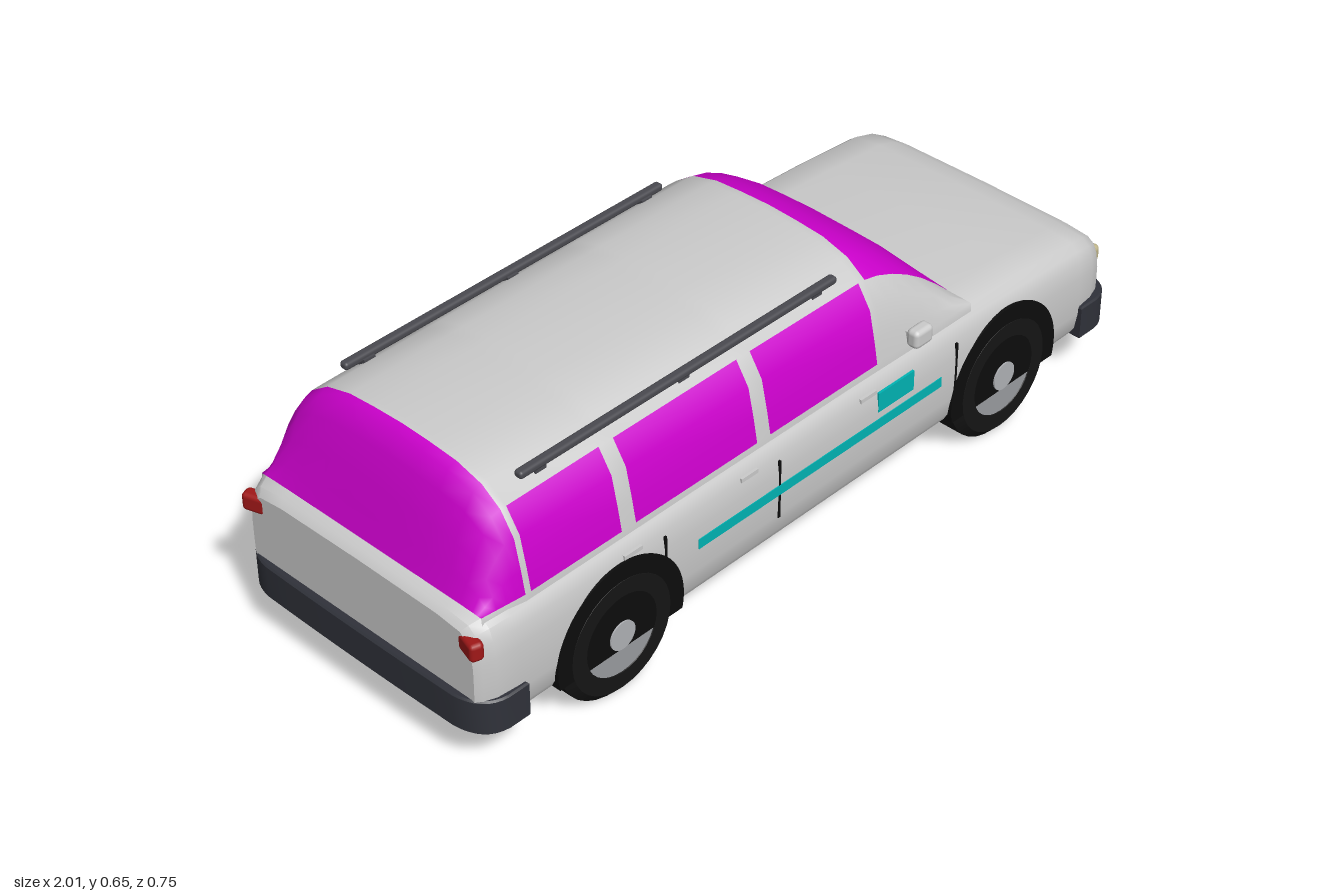
import * as THREE from 'three';
import { toCreasedNormals } from 'three/addons/utils/BufferGeometryUtils.js';
import { RoundedBoxGeometry } from 'three/addons/geometries/RoundedBoxGeometry.js';

const mat = (color, side = THREE.FrontSide) => new THREE.MeshStandardMaterial({ color, side });
const GREY = mat(0xcccccc), SHELL = mat(0xcccccc, THREE.DoubleSide), GLASS = mat(0xcc00cc, THREE.DoubleSide);
const TYRE = mat(0x151515), ARCH = mat(0x0c0c0c), DARK = mat(0x30323a), RAIL = mat(0x4a4a50), RIM = mat(0x9a9ca0);
const CAP = mat(0xb0b2b6), TEAL = mat(0x00b4b4), LAMP = mat(0xbfb58a), RED = mat(0xa01818), CHROME = mat(0xa8b0b0);

function add(group, name, geometry, material, x = 0, y = 0, z = 0) {
  const mesh = new THREE.Mesh(geometry, material);
  mesh.name = name;
  mesh.position.set(x, y, z);
  group.add(mesh);
  return mesh;
}

// Vertices of equal rows; quads go to the index list chosen by pick(i, j)
function loft(rows, pick) {
  const n = rows[0].length, pos = new Float32Array(rows.flat(2)), all = [], lists = {};
  for (let i = 0; i < rows.length - 1; i++) for (let j = 0; j < n - 1; j++) {
    const a = i * n + j, b = a + n, quad = [a, b, a + 1, b, b + 1, a + 1];
    all.push(...quad);
    (lists[pick(i, j)] ??= []).push(...quad);
  }
  const base = new THREE.BufferGeometry();
  base.setAttribute('position', new THREE.BufferAttribute(pos, 3));
  base.setIndex(all);
  base.computeVertexNormals();
  const out = {};
  for (const key in lists) {
    out[key] = base.clone();
    out[key].setIndex(lists[key]);
  }
  return out;
}

// Lower body: half section as [width factor, height factor], stations as [x, half width, top]
function bodyGeometry() {
  const half = [[0, 0], [0.94, 0], [0.975, 0.08], [0.995, 0.25], [1, 0.45], [1, 0.65], [0.985, 0.8],
    [0.955, 0.9], [0.9, 0.96], [0.7, 0.99], [0, 1]];
  const ring = [...half, ...half.slice(0, -1).reverse().map(([z, y]) => [-z, y])];
  const stations = [[-0.985, 0.33, 0.38], [-0.972, 0.343, 0.395], [-0.945, 0.354, 0.405], [-0.89, 0.359, 0.408],
    [-0.4, 0.36, 0.408], [0.1, 0.36, 0.407], [0.45, 0.36, 0.402], [0.7, 0.36, 0.39], [0.87, 0.358, 0.378],
    [0.92, 0.352, 0.366], [0.955, 0.34, 0.347], [0.975, 0.325, 0.33], [0.985, 0.305, 0.315]];
  const rows = stations.map(([x, w, top]) => ring.map(([z, y]) => [x, 0.125 + y * (top - 0.125), z * w]));
  // Close both ends by collapsing a row onto the centre
  const centre = x => ring.map(() => [x, 0.22, 0]);
  rows.unshift(centre(-0.985));
  rows.push(centre(0.985));
  return toCreasedNormals(loft(rows, () => 'body').body, 0.6);
}

// Cabin: one section, squashed in height along the length, split into glass and shell
function cabinGeometry() {
  const half = [[0.338, 0], [0.336, 0], [0.326, 0.22], [0.31, 0.52], [0.275, 0.74], [0.225, 0.885],
    [0.155, 0.965], [0.08, 0.988], [0, 1]];
  const ring = [...half, ...half.slice(0, -1).reverse().map(([z, y]) => [-z, y])];
  const stations = [[-0.953, 0.402], [-0.935, 0.455], [-0.915, 0.52], [-0.89, 0.59], [-0.868, 0.632], [-0.845, 0.641],
    [-0.83, 0.642], [-0.58, 0.645], [-0.54, 0.645], [-0.185, 0.647], [-0.145, 0.647], [0.19, 0.645], [0.21, 0.643],
    [0.25, 0.631], [0.3, 0.603], [0.35, 0.566], [0.4, 0.52], [0.45, 0.464], [0.5, 0.402]];
  const last = ring.length - 1;
  const rows = stations.map(([x, top]) => ring.map(([z, f], j) => {
    const taper = x < -0.845 ? 1 - 0.3 * (-0.845 - x) : 1;
    return [x, j === 0 || j === last ? 0.38 : 0.4 + f * (top - 0.4), z * taper];
  }));
  return loft(rows, (i, j) => {
    const x = (stations[i][0] + stations[i + 1][0]) / 2, k = Math.min(j, last - 1 - j);
    if (k === 0) return 'shell';
    if (x < -0.845) return 'rearWindow';
    if (x > 0.21) return k >= 4 ? 'windscreen' : 'shell';
    const pane = [[-0.83, -0.58], [-0.54, -0.185], [-0.145, 0.19]].some(([a, b]) => x > a && x < b);
    return pane && k <= 3 ? 'sideWindows' : 'shell';
  });
}

// Wrap-around bumper: rounded U in plan, raised to its height
function bumperGeometry() {
  const s = new THREE.Shape();
  s.moveTo(0.87, -0.362);
  s.lineTo(0.92, -0.362);
  s.quadraticCurveTo(0.982, -0.355, 0.99, -0.28);
  s.quadraticCurveTo(0.996, 0, 0.99, 0.28);
  s.quadraticCurveTo(0.982, 0.355, 0.92, 0.362);
  s.lineTo(0.87, 0.362);
  s.lineTo(0.87, 0.33);
  s.lineTo(0.9, 0.33);
  s.quadraticCurveTo(0.94, 0.32, 0.94, 0.25);
  s.lineTo(0.94, -0.25);
  s.quadraticCurveTo(0.94, -0.32, 0.9, -0.33);
  s.lineTo(0.87, -0.33);
  s.closePath();
  const g = new THREE.ExtrudeGeometry(s, { depth: 0.08, bevelThickness: 0.004, bevelSize: 0.004, bevelSegments: 1, curveSegments: 8 });
  g.rotateX(-Math.PI / 2);
  return toCreasedNormals(g, 0.6);
}

// Wheel facing +z, its middle plane at z = 0
function wheel() {
  const g = new THREE.Group();
  g.name = 'wheel';
  const profile = [[0.095, -0.052], [0.14, -0.052], [0.16, -0.034], [0.16, 0.034], [0.14, 0.052], [0.1, 0.052], [0.095, 0.04]];
  const tyre = new THREE.LatheGeometry(profile.map(p => new THREE.Vector2(...p)), 32);
  const disc = (r, h) => new THREE.CylinderGeometry(r, r, h, 32).rotateX(Math.PI / 2);
  add(g, 'tyre', toCreasedNormals(tyre.rotateX(Math.PI / 2), 0.5), TYRE);
  add(g, 'rim', disc(0.1, 0.1), RIM);
  add(g, 'hubCap', disc(0.035, 0.11), CAP);
  return g;
}

export function createModel() {
  const car = new THREE.Group();
  car.name = 'estateCar';
  add(car, 'lowerBody', bodyGeometry(), SHELL);
  const cabin = cabinGeometry();
  for (const part in cabin) add(car, part === 'shell' ? 'cabinShell' : part, cabin[part], part === 'shell' ? SHELL : GLASS);

  add(car, 'frontBumper', bumperGeometry(), DARK, 0.006, 0.124);
  add(car, 'rearBumper', bumperGeometry(), DARK, -0.006, 0.124).rotation.y = Math.PI;

  // Grille with bright bar
  add(car, 'grille', new RoundedBoxGeometry(0.024, 0.048, 0.46, 1, 0.004), DARK, 0.982, 0.228);
  add(car, 'grilleBar', new THREE.BoxGeometry(0.006, 0.008, 0.44), CHROME, 0.994, 0.235);

  // Half disc above the sill line for each wheel arch
  const cut = Math.asin(0.04 / 0.18);
  const archShape = new THREE.Shape();
  archShape.absarc(0, 0, 0.18, -cut, Math.PI + cut, false);
  archShape.closePath();
  const archGeometry = new THREE.ExtrudeGeometry(archShape, { depth: 0.08, bevelEnabled: false, curveSegments: 32 });

  for (const s of [1, -1]) {
    const side = s > 0 ? 'left' : 'right';
    for (const x of [0.6, -0.61]) {
      const end = x > 0 ? 'Front' : 'Rear';
      const w = wheel();
      w.name = side + end + 'Wheel';
      w.position.set(x, 0.162, s * 0.31);
      if (s < 0) w.rotation.y = Math.PI;
      car.add(w);
      add(car, side + end + 'Arch', archGeometry, ARCH, x, 0.165, s > 0 ? 0.2815 : -0.3615);
    }

    // Lamps set into the corners
    add(car, side + 'Headlamp', new RoundedBoxGeometry(0.03, 0.044, 0.118, 2, 0.012), LAMP, 0.975, 0.278, s * 0.258).rotation.y = s * 0.14;
    add(car, side + 'TailLamp', new RoundedBoxGeometry(0.032, 0.044, 0.09, 2, 0.01), RED, -0.972, 0.343, s * 0.305).rotation.y = -s * 0.3;

    // Door mirror on a short stalk
    add(car, side + 'Mirror', new RoundedBoxGeometry(0.058, 0.046, 0.034, 2, 0.012), GREY, 0.3, 0.432, s * 0.359);
    add(car, side + 'MirrorStalk', new THREE.BoxGeometry(0.024, 0.018, 0.04), GREY, 0.3, 0.424, s * 0.333);

    // Roof rail with feet
    add(car, side + 'RoofRail', new RoundedBoxGeometry(0.915, 0.018, 0.022, 2, 0.007), RAIL, -0.322, 0.613, s * 0.254);
    for (const x of [-0.72, -0.32, 0.08]) add(car, side + 'RailFoot', new THREE.BoxGeometry(0.03, 0.02, 0.02), RAIL, x, 0.602, s * 0.248);

    // Side trim, panel, door gaps and handles
    add(car, side + 'Stripe', new THREE.BoxGeometry(0.765, 0.025, 0.01), TEAL, -0.003, 0.264, s * 0.357);
    add(car, side + 'Panel', new THREE.BoxGeometry(0.115, 0.05, 0.01), TEAL, 0.228, 0.32, s * 0.356);
    for (const x of [-0.48, -0.14, 0.43]) add(car, side + 'DoorGap', new THREE.BoxGeometry(0.006, 0.15, 0.01), ARCH, x, 0.265, s * 0.356);
    for (const x of [-0.57, -0.23, 0.14]) add(car, side + 'DoorHandle', new THREE.BoxGeometry(0.05, 0.01, 0.014), GREY, x, 0.352, s * 0.352);
  }
  return car;
}
